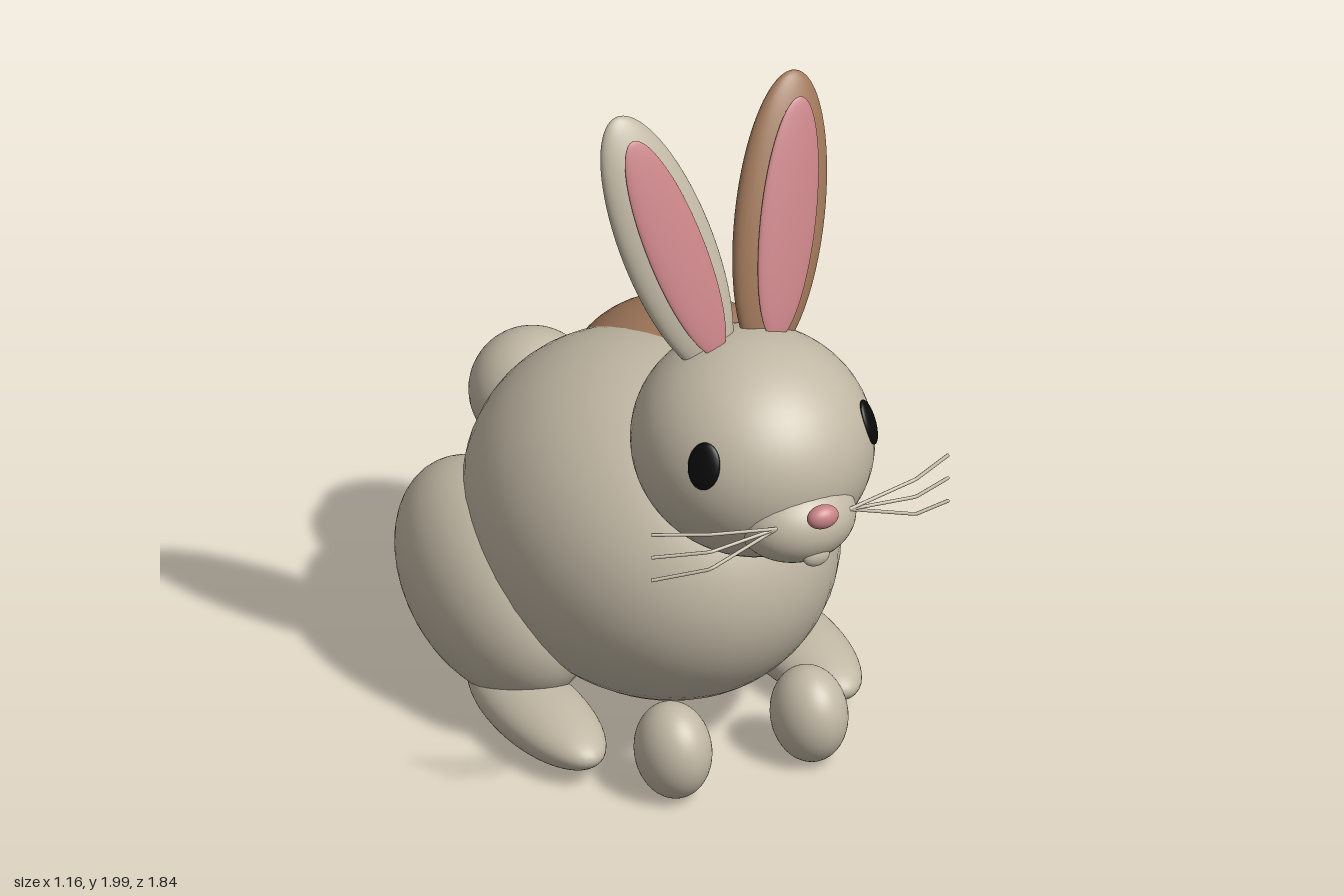
import * as THREE from 'three';

const mat = (name, color) => {
  const m = new THREE.MeshStandardMaterial({ color });
  m.name = name;
  return m;
};

export function createModel() {
  const fur = mat('greyFur', 0xc2b8a5);
  const brown = mat('brownFur', 0xa0785a);
  const pink = mat('pinkSkin', 0xc88286);
  const black = mat('eyeBlack', 0x0a0a0a);

  const rabbit = new THREE.Group();
  rabbit.name = 'rabbit';

  // Smooth ellipsoid with given centre and radii
  const ball = (name, material, pos, radii, parent = rabbit) => {
    const geometry = new THREE.SphereGeometry(1, 48, 32);
    geometry.scale(...radii);
    const mesh = new THREE.Mesh(geometry, material);
    mesh.name = name;
    mesh.position.set(...pos);
    parent.add(mesh);
    return mesh;
  };

  // Body, flank patch and tail
  ball('body', fur, [0, 0.555, -0.08], [0.475, 0.475, 0.6]);
  ball('flankPatch', brown, [0.19, 0.76, -0.24], [0.32, 0.27, 0.37]);
  ball('tail', fur, [0, 0.59, -0.75], [0.17, 0.17, 0.17]);

  // Head, muzzle, nose and chin
  const head = [0, 1.07, 0.49];
  const headRadii = [0.322, 0.305, 0.34];
  ball('head', fur, head, headRadii);
  ball('muzzle', fur, [0, 0.965, 0.73], [0.166, 0.122, 0.15]);
  ball('nose', pink, [0, 1.035, 0.885], [0.045, 0.033, 0.03]);
  ball('chin', fur, [0, 0.897, 0.848], [0.039, 0.03, 0.02]);

  for (const s of [1, -1]) {
    const side = s > 0 ? 'left' : 'right';

    // Legs
    const haunch = ball(side + 'Haunch', fur, [s * 0.35, 0.335, -0.305], [0.23, 0.28, 0.38]);
    haunch.rotation.x = 0.3;
    ball(side + 'HindFoot', fur, [s * 0.385, 0.09, -0.005], [0.125, 0.085, 0.315]);
    ball(side + 'FrontPaw', fur, [s * 0.205, 0.14, 0.425], [0.1, 0.135, 0.12]);

    // Eye, a flat disc lying on the head's surface
    const eyePos = [s * 0.248, 1.153, 0.68];
    const eye = ball(side + 'Eye', black, eyePos, [0.047, 0.065, 0.016]);
    const normal = new THREE.Vector3(...eyePos.map((p, i) => (p - head[i]) / headRadii[i] ** 2));
    eye.lookAt(eye.position.clone().add(normal));

    // Ear leaning out and back, with a pink inside
    const ear = new THREE.Group();
    ear.name = side + 'Ear';
    ear.position.set(s * 0.17, 1.63, 0.325);
    ear.rotation.set(-0.275, 0, s * -0.26);
    ball(side + 'OuterEar', s > 0 ? brown : fur, [0, 0, 0], [0.132, 0.393, 0.055], ear);
    ball(side + 'InnerEar', pink, [0, 0, 0.05], [0.083, 0.33, 0.016], ear);
    rabbit.add(ear);

    // Whiskers, bent back at the outer third
    for (const [bendY, endY] of [[1.037, 1.035], [0.983, 0.965], [0.93, 0.895]]) {
      const points = [[0.11, 1.0, 0.83], [0.31, bendY, 0.83], [0.447, endY, 0.755]]
        .map(([x, y, z]) => new THREE.Vector3(s * x, y, z));
      const path = new THREE.CurvePath();
      path.add(new THREE.LineCurve3(points[0], points[1]));
      path.add(new THREE.LineCurve3(points[1], points[2]));
      const whisker = new THREE.Mesh(new THREE.TubeGeometry(path, 24, 0.005, 8), fur);
      whisker.name = side + 'Whisker';
      rabbit.add(whisker);
    }
  }
  return rabbit;
}
